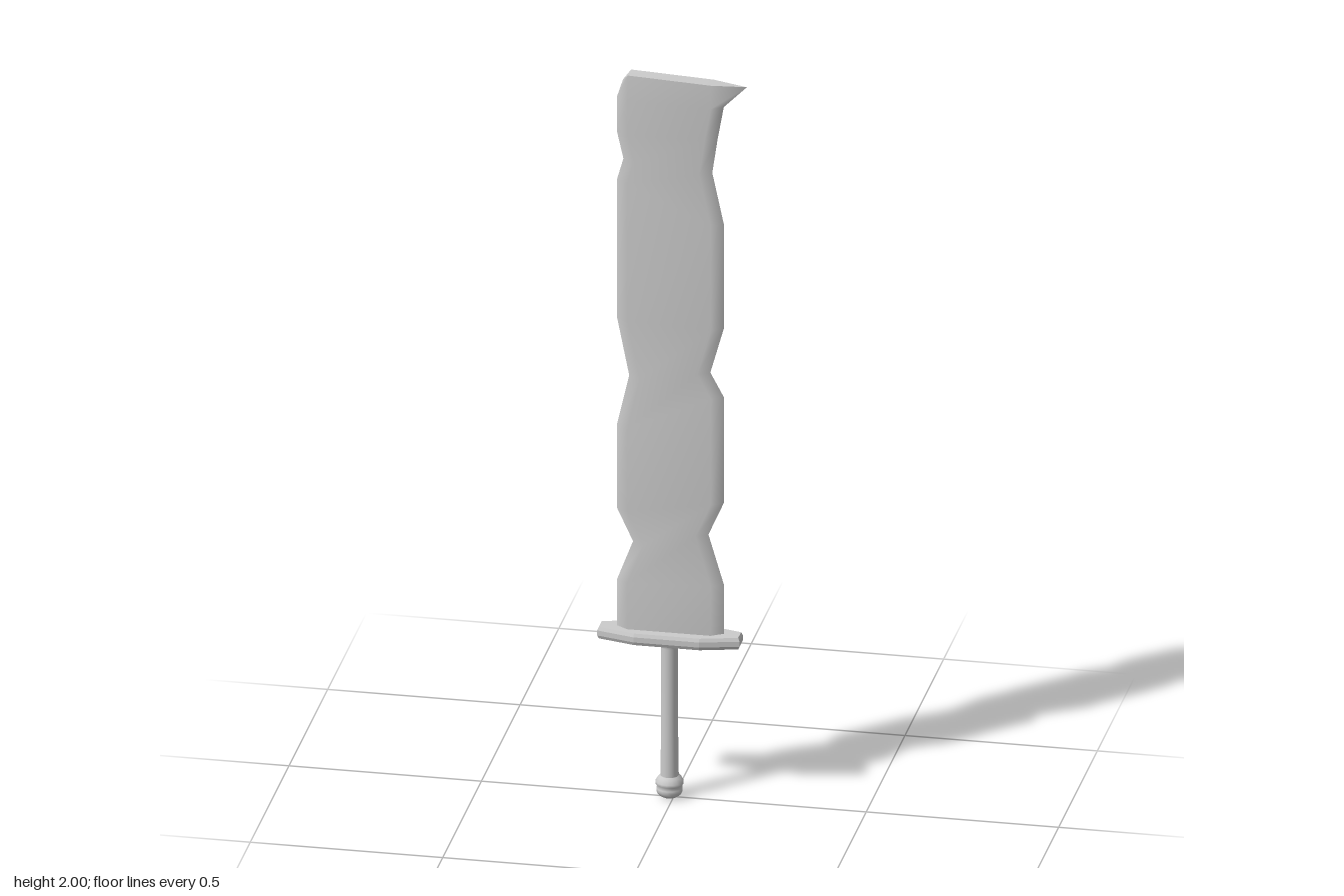
import * as THREE from 'three';

const metal = new THREE.MeshStandardMaterial({ color: 0xcccccc });
const HALF = 0.02; // half thickness of the blade

// Edge points per row: left x, left y, right x, right y
const ROWS = [
  [-0.148, 0.45, 0.13, 0.45], [-0.148, 0.59, 0.13, 0.6], [-0.106, 0.7, 0.09, 0.735],
  [-0.148, 0.79, 0.13, 0.826], [-0.148, 1.02, 0.13, 1.12], [-0.116, 1.16, 0.095, 1.185],
  [-0.148, 1.32, 0.13, 1.31], [-0.148, 1.7, 0.13, 1.6], [-0.131, 1.76, 0.1, 1.74],
  [-0.148, 1.835, 0.114, 1.835], [-0.148, 1.93, 0.13, 1.925], [-0.132, 1.98, 0.19, 1.985],
];

// Sharp edge, shoulder, shoulder, sharp edge
function crossSection([lx, ly, rx, ry], i) {
  const top = i === ROWS.length - 1;
  return [
    [lx, ly, 0],
    [top ? -0.115 : lx + 0.031, top ? 2 : ly, HALF],
    [top ? 0.1 : rx - 0.03, top ? 1.99 : ry, HALF],
    [rx, ry, 0],
  ];
}

function makeGeometry(points, index) {
  const g = new THREE.BufferGeometry();
  g.setAttribute('position', new THREE.Float32BufferAttribute(points.flat(), 3));
  g.setIndex(index);
  g.computeVertexNormals();
  return g;
}

// One face of the blade; side is 1 for the front and -1 for the back
function bladeFace(side) {
  const points = ROWS.flatMap(crossSection).map(([x, y, z]) => [x, y, z * side]);
  const index = [];
  for (let i = 0; i < ROWS.length - 1; i++) {
    for (let j = 0; j < 3; j++) {
      const a = i * 4 + j, b = a + 1, c = a + 5, d = a + 4;
      index.push(...(side > 0 ? [a, b, c, a, c, d] : [a, c, b, a, d, c]));
    }
  }
  return makeGeometry(points, index);
}

function bladeTop() {
  const [l, s, t, r] = crossSection(ROWS[ROWS.length - 1], ROWS.length - 1);
  const back = ([x, y, z]) => [x, y, -z];
  return makeGeometry([l, s, t, r, back(t), back(s)], [0, 1, 5, 1, 2, 4, 1, 4, 5, 2, 3, 4]);
}

// Tapered plate with bevelled rims
function guardGeometry() {
  const b = 0.004;
  const outline = [[-0.191, 0.019], [-0.095, 0.044], [0.075, 0.044], [0.171, 0.019]];
  const shape = new THREE.Shape([
    ...outline.map(([x, z]) => new THREE.Vector2(x, z)),
    ...outline.map(([x, z]) => new THREE.Vector2(x, -z)).reverse(),
  ]);
  const g = new THREE.ExtrudeGeometry(shape, {
    depth: 0.014, bevelEnabled: true, bevelThickness: 0.009, bevelSize: b, bevelSegments: 1,
  });
  return g.rotateX(-Math.PI / 2).translate(0, 0.44, 0);
}

function lathe(profile, x) {
  const points = profile.map(([r, y]) => new THREE.Vector2(r, y));
  return new THREE.LatheGeometry(points, 16).translate(x, 0, 0);
}

export function createModel() {
  const group = new THREE.Group();
  const add = (name, geometry, parent = group) => {
    const mesh = new THREE.Mesh(geometry, metal);
    mesh.name = name;
    parent.add(mesh);
  };

  // Wavy blade with a hooked tip
  const blade = new THREE.Group();
  blade.name = 'blade';
  group.add(blade);
  add('bladeFront', bladeFace(1), blade);
  add('bladeBack', bladeFace(-1), blade);
  add('bladeTop', bladeTop(), blade);

  add('guard', guardGeometry());

  // Handle
  const axis = -0.011;
  add('grip', lathe([[0.024, 0.05], [0.022, 0.2], [0.022, 0.415], [0.027, 0.424], [0.027, 0.436]], axis));
  add('pommel', lathe([
    [0, 0], [0.02, 0.002], [0.03, 0.009], [0.034, 0.018], [0.034, 0.026], [0.031, 0.031],
    [0.036, 0.037], [0.036, 0.044], [0.03, 0.055], [0.022, 0.062],
  ], axis));
  return group;
}
